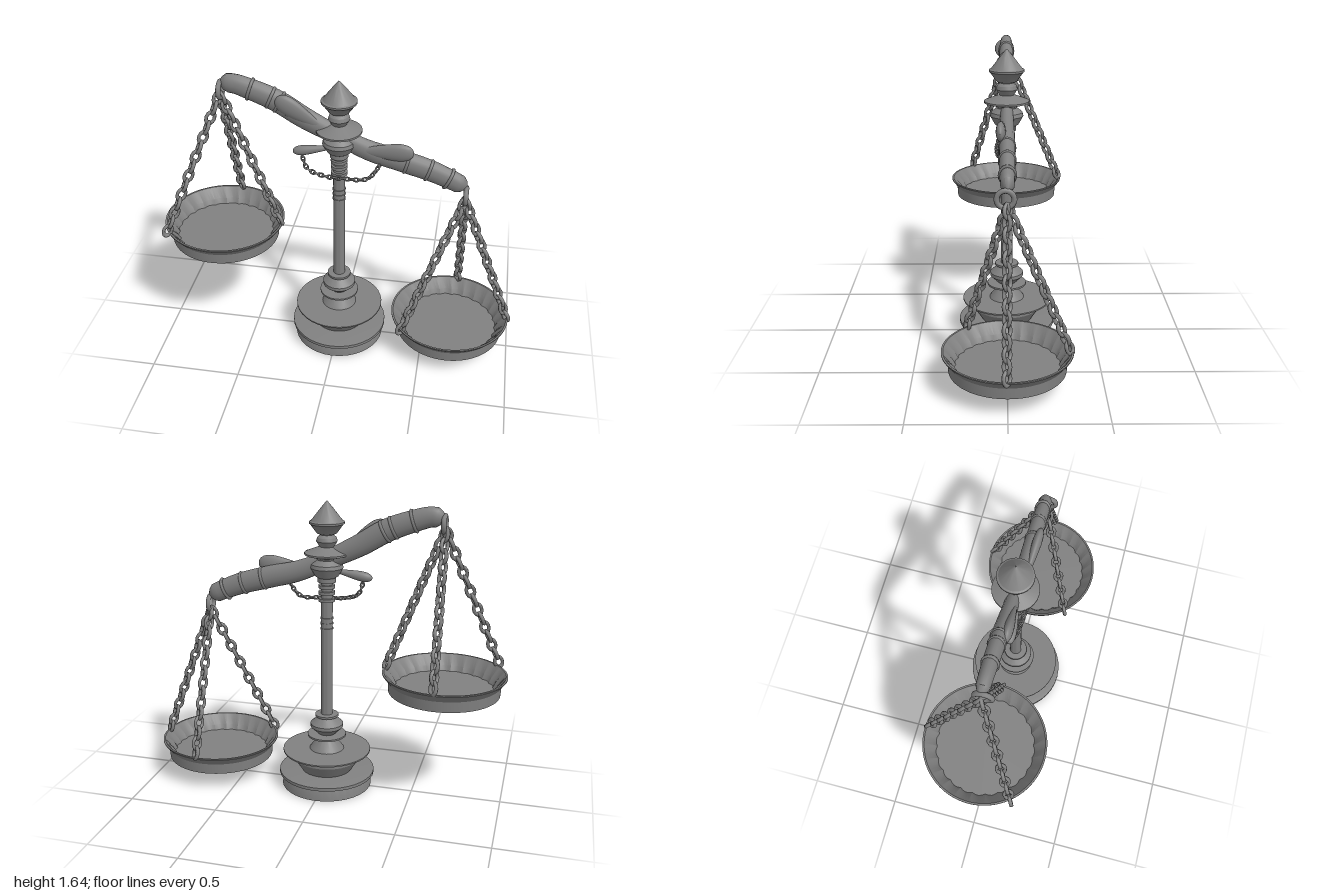
import * as THREE from 'three';
import { mergeGeometries, toCreasedNormals } from 'three/addons/utils/BufferGeometryUtils.js';

const metal = new THREE.MeshStandardMaterial({ color: 0x808080 });
metal.name = 'grey metal';
const V = (x, y, z = 0) => new THREE.Vector3(x, y, z);
const UP = V(0, 1, 0);

function add(parent, name, geometry) {
  const mesh = new THREE.Mesh(geometry, metal);
  mesh.name = name;
  parent.add(mesh);
  return mesh;
}

// Turned part with crisp edges; profile is [radius, y] from bottom to top
function turned(profile, sides = 28) {
  const points = profile.map(([r, y]) => new THREE.Vector2(r, y));
  return toCreasedNormals(new THREE.LatheGeometry(points, sides), 0.45);
}

// Chain of alternating oval links spread evenly along a curve
function chain(curve, pitch, radius, wire) {
  const count = Math.round(curve.getLength() / pitch);
  const links = [];
  for (let i = 0; i < count; i++) {
    const t = (i + 0.5) / count;
    const link = new THREE.TorusGeometry(radius, wire, 6, 12);
    link.scale(1, 1.45, 1.2);
    link.rotateY(Math.PI / 4 + (i % 2) * Math.PI / 2);
    link.applyQuaternion(new THREE.Quaternion().setFromUnitVectors(UP, curve.getTangentAt(t)));
    const p = curve.getPointAt(t);
    link.translate(p.x, p.y, p.z);
    links.push(link);
  }
  return mergeGeometries(links);
}

// Flattened teardrop, thin at the start and round at the end
function lobe(start, end, radius, flat) {
  const dir = end.clone().sub(start);
  const length = dir.length();
  const profile = [];
  for (let i = 0; i <= 18; i++) {
    const a = (i / 18) * Math.PI;
    const t = (1 - Math.cos(a)) / 2;
    profile.push(new THREE.Vector2(radius * 1.2 * Math.sin(a) * (0.2 + 0.8 * t * t) , t * length));
  }
  const geometry = new THREE.LatheGeometry(profile, 18);
  geometry.scale(1, 1, flat);
  geometry.applyQuaternion(new THREE.Quaternion().setFromUnitVectors(UP, dir.normalize()));
  return geometry.translate(start.x, start.y, start.z);
}

// Tilted beam: oval tube, thicker along the arms, closed at both ends
function beamGeometry(curve) {
  const rings = 60, sides = 16;
  const geometry = new THREE.TubeGeometry(curve, rings, 1, sides, false);
  const pos = geometry.attributes.position;
  const v = V(0, 0);
  for (let i = 0; i <= rings; i++) {
    const t = i / rings;
    const centre = curve.getPointAt(t);
    const arm = Math.abs(t - 0.5) * 2;
    let r = 0.05 + 0.012 * Math.sin(arm * Math.PI);
    if (i === 0 || i === rings) r = 0.0005;
    else if (i === 1 || i === rings - 1) r = 0.036;
    for (let j = 0; j <= sides; j++) {
      const k = i * (sides + 1) + j;
      v.fromBufferAttribute(pos, k).sub(centre).multiplyScalar(r);
      v.z *= 0.68;
      v.add(centre);
      pos.setXYZ(k, v.x, v.y, v.z);
    }
  }
  return toCreasedNormals(geometry, 0.6);
}

// Shallow dish with a flared rim and a scalloped inner wall
function panGeometry() {
  const scallops = 24;
  const profile = [[0, 0], [0.303, 0], [0.307, 0.06], [0.338, 0.1], [0.338, 0.106],
    [0.328, 0.106], [0.285, 0.05], [0.27, 0.02], [0, 0.02]];
  const geometry = new THREE.LatheGeometry(profile.map(p => new THREE.Vector2(...p)), scallops * 4);
  const pos = geometry.attributes.position;
  for (let i = 0; i < pos.count; i++) {
    const row = i % profile.length;
    if (row !== 6 && row !== 7) continue;
    const x = pos.getX(i), z = pos.getZ(i);
    const bulge = Math.abs(Math.sin(Math.atan2(z, x) * scallops / 2));
    const s = 0.975 + 0.035 * bulge;
    pos.setX(i, x * s);
    pos.setZ(i, z * s);
  }
  return toCreasedNormals(geometry, 0.35);
}

export function createModel() {
  const model = new THREE.Group();
  model.name = 'balanceScale';

  // Stepped base
  const base = new THREE.Group();
  base.name = 'base';
  model.add(base);
  add(base, 'foot', turned([[0, 0], [0.257, 0], [0.25, 0.06], [0.245, 0.068], [0.272, 0.07],
    [0.272, 0.088], [0.25, 0.092], [0, 0.092]], 36));
  add(base, 'bowl', turned([[0.1, 0.09], [0.145, 0.092], [0.192, 0.165], [0.192, 0.182], [0.14, 0.208]], 36));
  add(base, 'plate', turned([[0, 0.207], [0.25, 0.207], [0.25, 0.215], [0, 0.215]], 36));

  // Column with lower bead, grooved bands and upper collars
  add(model, 'column', turned([[0.1, 0.212], [0.09, 0.228], [0.035, 0.295], [0.11, 0.296], [0.11, 0.306],
    [0.05, 0.308], [0.093, 0.35], [0.093, 0.37], [0.045, 0.412], [0.066, 0.414], [0.066, 0.426],
    [0.033, 0.428], [0.032, 1.25]]));
  for (const y of [0.935, 0.965, 0.995])
    add(model, 'columnBand', turned([[0.03, y - 0.005], [0.036, y - 0.004], [0.036, y + 0.004], [0.03, y + 0.005]]));
  for (const y of [1.1, 1.14, 1.175])
    add(model, 'columnCollar', turned([[0.03, y - 0.01], [0.045, y - 0.009], [0.045, y + 0.009], [0.03, y + 0.01]]));

  // Pivot hub and pointed finial
  add(model, 'pivotHub', turned([[0.03, 1.195], [0.05, 1.2], [0.05, 1.225], [0.065, 1.235], [0.09, 1.28],
    [0.085, 1.3], [0.055, 1.325], [0.06, 1.335], [0.122, 1.353], [0.122, 1.363], [0.065, 1.385],
    [0.04, 1.395], [0.058, 1.425], [0.052, 1.445], [0.034, 1.46]]));
  add(model, 'finial', turned([[0.032, 1.458], [0.055, 1.468], [0.09, 1.517], [0.095, 1.52], [0.095, 1.53],
    [0.085, 1.535], [0.035, 1.6], [0.002, 1.64]]));

  // Beam with raised bands
  const beamCurve = new THREE.CatmullRomCurve3([V(-0.635, 1.572), V(-0.56, 1.58), V(-0.47, 1.555),
    V(-0.33, 1.5), V(-0.18, 1.41), V(0, 1.32), V(0.16, 1.25), V(0.33, 1.205), V(0.5, 1.155),
    V(0.62, 1.105), V(0.69, 1.07)]);
  add(model, 'beam', beamGeometry(beamCurve));
  for (const t of [0.12, 0.2, 0.235, 0.755, 0.84, 0.92]) {
    const band = new THREE.TorusGeometry(0.058, 0.009, 6, 20);
    band.scale(1, 0.7, 1);
    band.rotateZ(Math.PI / 2);
    const tangent = beamCurve.getTangentAt(t);
    band.rotateY(Math.PI / 2);
    band.rotateZ(Math.atan2(tangent.y, tangent.x));
    const p = beamCurve.getPointAt(t);
    add(model, 'beamBand', band.translate(p.x, p.y, p.z));
  }

  // Teardrop ornaments and small hanging garland
  add(model, 'leftLobe', lobe(V(0.02, 1.25, 0.02), V(0.4, 1.275, 0.035), 0.075, 0.5));
  add(model, 'rightLobe', lobe(V(-0.02, 1.33, 0.02), V(-0.325, 1.53, 0.035), 0.078, 0.5));
  add(model, 'handleLobe', lobe(V(0.02, 1.27, 0.02), V(-0.245, 1.225, 0.03), 0.04, 0.9));
  const garland = new THREE.CatmullRomCurve3([V(-0.2, 1.22, 0.03), V(-0.165, 1.13, 0.04), V(-0.08, 1.1, 0.05),
    V(0.03, 1.095, 0.055), V(0.16, 1.1, 0.04), V(0.23, 1.19, 0.02)]);
  add(model, 'garland', chain(garland, 0.024, 0.01, 0.0045));

  // Hanging pans, each on a ring and three chains
  const pan = panGeometry();
  const sides = [
    { name: 'rightPan', hub: V(-0.632, 1.52), ring: V(-0.625, 1.545), centre: V(-0.66, 0.629),
      ends: [V(-0.94, 0.725, 0.22), V(-0.645, 0.735, -0.325), V(-0.33, 0.73, 0.005)] },
    { name: 'leftPan', hub: V(0.685, 1.0), ring: V(0.685, 1.03), centre: V(0.652, 0.11),
      ends: [V(0.38, 0.2, 0.22), V(0.68, 0.21, -0.325), V(0.985, 0.205, 0.005)] },
  ];
  for (const { name, hub, ring, centre, ends } of sides) {
    const group = new THREE.Group();
    group.name = name;
    model.add(group);
    add(group, 'dish', pan).position.copy(centre);
    const hook = new THREE.TorusGeometry(0.043, 0.014, 8, 20).rotateY(Math.PI / 2);
    add(group, 'hangingRing', hook.translate(ring.x, ring.y, 0.01));
    for (const end of ends)
      add(group, 'chain', chain(new THREE.LineCurve3(hub, end), 0.058, 0.022, 0.0095));
  }
  return model;
}
